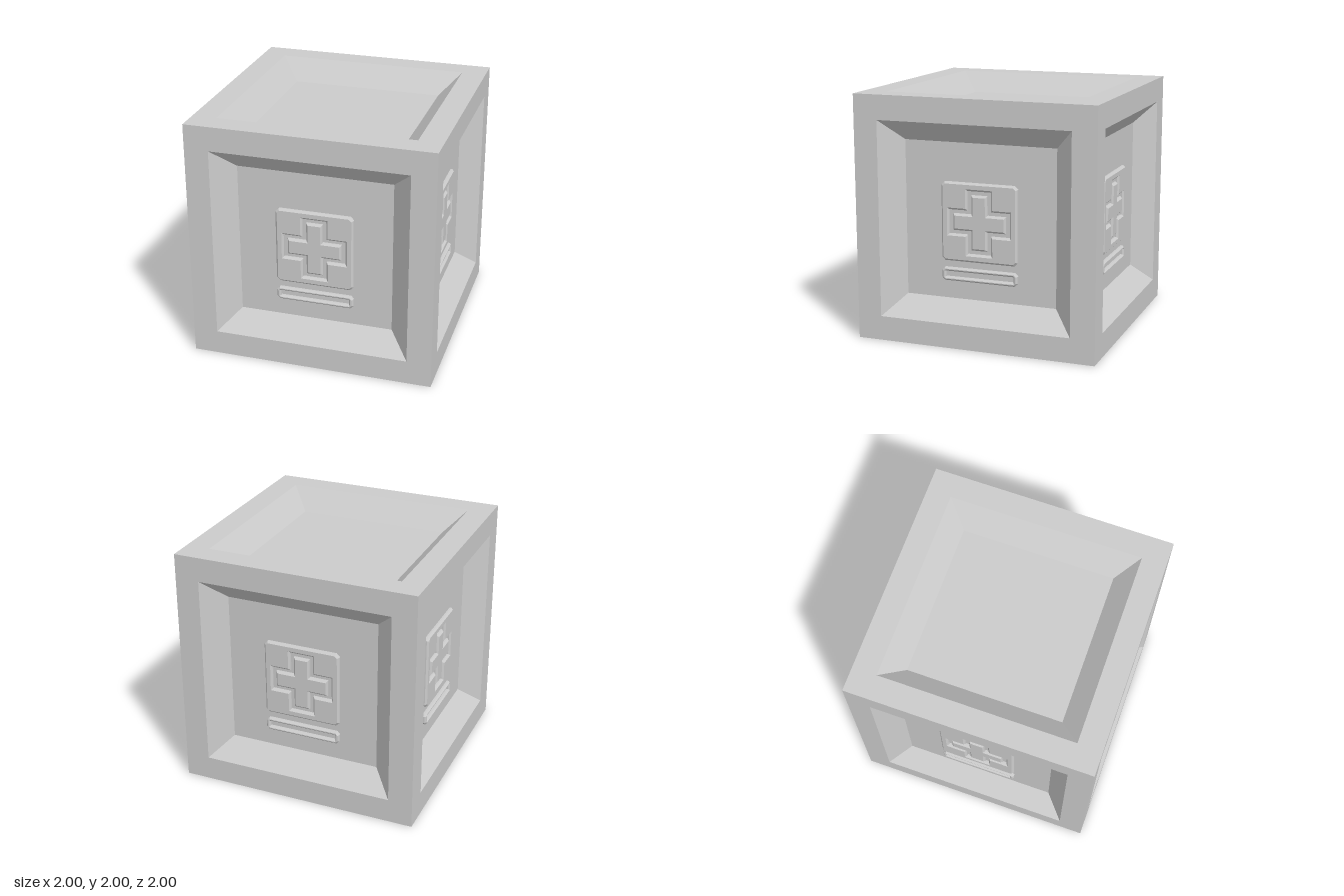
import * as THREE from 'three';

const material = new THREE.MeshStandardMaterial({ color: 0xcccccc, flatShading: true });
const SLOPE = 0.167; // width and depth of the sloped recess wall
const FLOOR = 1 - SLOPE;

function mesh(name, geometry) {
  const m = new THREE.Mesh(geometry, material);
  m.name = name;
  return m;
}

const toPoints = (list) => list.map(([x, y]) => new THREE.Vector2(x, y));

// Rectangle with cut corners
function cutRect(hw, hh, c) {
  return toPoints([
    [-hw + c, -hh], [hw - c, -hh], [hw, -hh + c], [hw, hh - c],
    [hw - c, hh], [-hw + c, hh], [-hw, hh - c], [-hw, -hh + c],
  ]);
}

// Plus sign: r is the reach, a is half the arm width
function plus(r, a) {
  return toPoints([
    [-a, -r], [a, -r], [a, -a], [r, -a], [r, a], [a, a],
    [a, r], [-a, r], [-a, a], [-r, a], [-r, -a], [-a, -a],
  ]);
}

// Bevelled relief standing `height` above the panel, its back sunk into it
function relief(outline, hole, height, bevel = 0.015) {
  const shape = new THREE.Shape(outline);
  if (hole) shape.holes.push(new THREE.Path(hole));
  const depth = height - bevel + 0.002;
  const g = new THREE.ExtrudeGeometry(shape, {
    depth, bevelEnabled: true, bevelSegments: 1,
    bevelThickness: bevel, bevelSize: bevel, bevelOffset: -bevel,
  });
  return g.translate(0, 0, height - depth - bevel);
}

// One cube face: flat rim, four sloped walls and the panel floor, facing +z
function recessedFace() {
  const profile = [[1, 1], [0.8, 1], [0.8 - SLOPE, FLOOR], [0, FLOOR]]
    .map(([r, y]) => new THREE.Vector2(r * Math.SQRT2, y));
  const g = new THREE.LatheGeometry(profile, 4, Math.PI / 4).toNonIndexed();
  g.computeVertexNormals();
  return g.rotateX(Math.PI / 2);
}

// Square plate with a sunken cross channel, a raised cross and a bar below
function emblem() {
  const group = new THREE.Group();
  group.name = 'emblem';
  group.add(mesh('crossPlate', relief(cutRect(0.32, 0.32, 0.028), plus(0.255, 0.098), 0.03)));
  group.add(mesh('raisedCross', relief(plus(0.222, 0.067), null, 0.03)));

  const bar = mesh('barRim', relief(cutRect(0.32, 0.054, 0.024), null, 0.03));
  const slot = cutRect(0.285, 0.023, 0.001);
  bar.geometry = relief(cutRect(0.32, 0.054, 0.024), slot, 0.03, 0.012);
  bar.position.y = -0.43;
  group.add(bar);
  group.position.z = FLOOR;
  return group;
}

export function createModel() {
  const model = new THREE.Group();
  model.name = 'supplyCrate';
  const face = recessedFace();

  // Four sides, each with the emblem
  ['front', 'left', 'back', 'right'].forEach((name, i) => {
    const side = new THREE.Group();
    side.name = name + 'Side';
    side.add(mesh(name + 'Panel', face), emblem());
    side.rotation.y = i * Math.PI / 2;
    side.position.y = 1;
    model.add(side);
  });

  // Plain recessed top
  const top = mesh('topPanel', face);
  top.rotation.x = -Math.PI / 2;
  top.position.y = 1;
  model.add(top);

  // Flat underside
  const base = mesh('base', new THREE.PlaneGeometry(2, 2));
  base.rotation.x = Math.PI / 2;
  model.add(base);

  return model;
}
